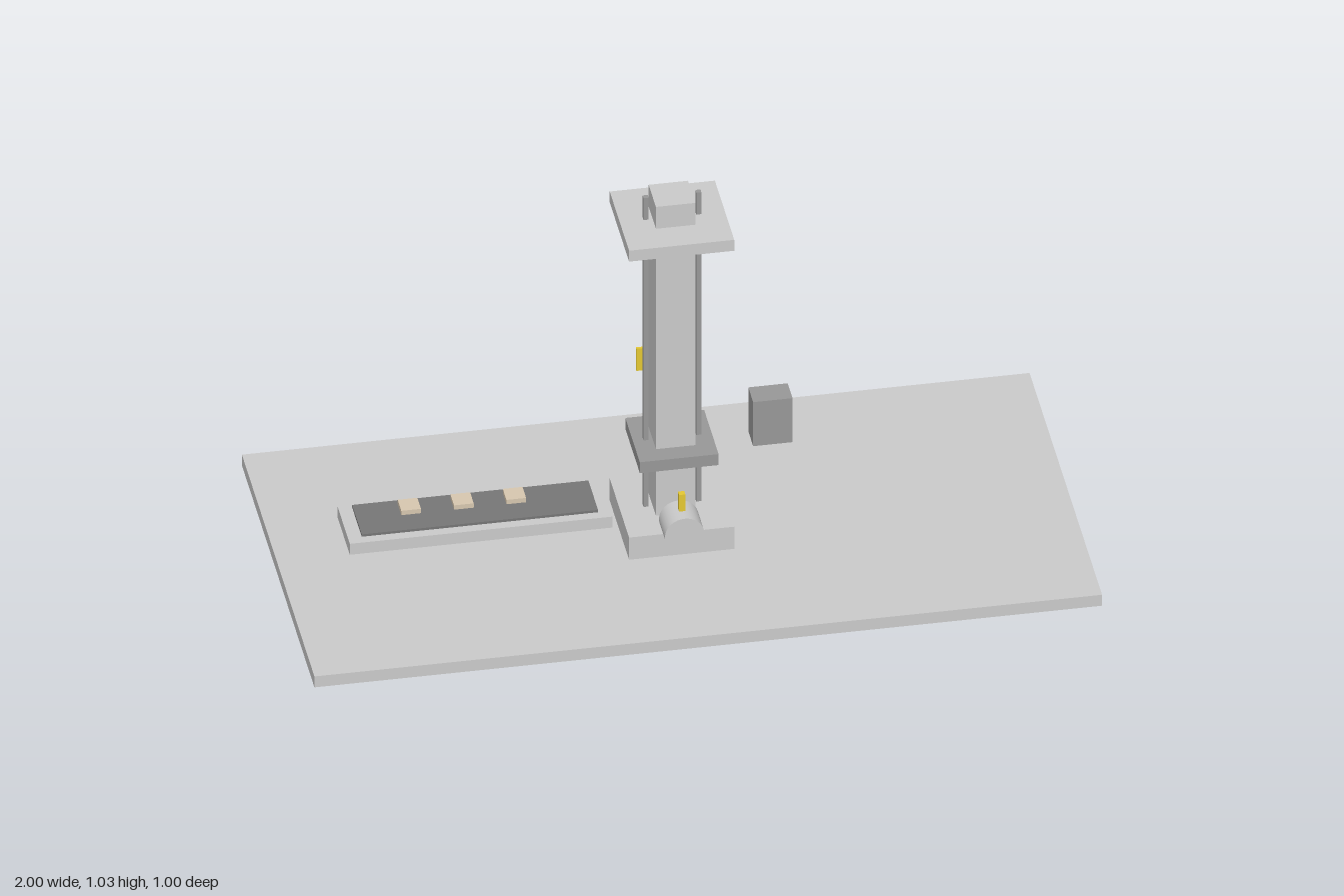
import * as THREE from 'three';

const mat = (color) => new THREE.MeshStandardMaterial({ color });

export function createModel() {
  const model = new THREE.Group();
  model.name = 'liftAndConveyor';

  const grey = mat(0xcccccc), dark = mat(0x999999), rubber = mat(0x777777);
  const yellow = mat(0xe6c933), beige = mat(0xd8c8b0);

  // Box given by its size, x/z centre and bottom height
  function box(name, [w, h, d], [x, bottom, z], material = grey, parent = model) {
    const mesh = new THREE.Mesh(new THREE.BoxGeometry(w, h, d), material);
    mesh.name = name;
    mesh.position.set(x, bottom + h / 2, z);
    parent.add(mesh);
    return mesh;
  }

  // Ground plate and tower
  box('basePlate', [2, 0.033, 1], [0, 0, 0]);
  box('pedestal', [0.267, 0.067, 0.267], [0, 0.033, 0]);
  box('column', [0.1, 0.933, 0.1], [0, 0.1, 0]);
  box('topPlate', [0.267, 0.033, 0.267], [0, 0.934, 0]);
  box('carriage', [0.2, 0.033, 0.2], [0, 0.268, 0], dark);
  for (const side of [1, -1]) {
    box(side > 0 ? 'leftRail' : 'rightRail', [0.013, 0.933, 0.013], [side * 0.067, 0.1, 0], dark);
  }

  // Motor facing forward, with its marker on top
  const motor = new THREE.Mesh(new THREE.CylinderGeometry(0.05, 0.05, 0.083, 32), grey);
  motor.name = 'motor';
  motor.rotation.x = Math.PI / 2;
  motor.position.set(0, 0.118, 0.133);
  model.add(motor);
  box('motorMarker', [0.016, 0.05, 0.016], [0, 0.168, 0.133], yellow);

  // Sensor and sign plate behind the column
  box('sensor', [0.035, 0.033, 0.033], [0, 0.219, -0.083]);
  box('signPlate', [0.133, 0.067, 0.007], [0, 0.419, -0.133], yellow);

  // Control box beside the tower
  box('controlBox', [0.1, 0.133, 0.067], [0.25, 0.268, 0], dark);

  // Conveyor with three parcels
  const conveyor = new THREE.Group();
  conveyor.name = 'conveyor';
  model.add(conveyor);
  box('conveyorFrame', [0.667, 0.033, 0.167], [-0.5, 0.101, 0], grey, conveyor);
  box('belt', [0.6, 0.007, 0.133], [-0.5, 0.14, 0], rubber, conveyor);
  for (const x of [-0.667, -0.533, -0.4]) {
    box('parcel', [0.05, 0.013, 0.05], [x, 0.164, 0], beige, conveyor);
  }

  return model;
}
